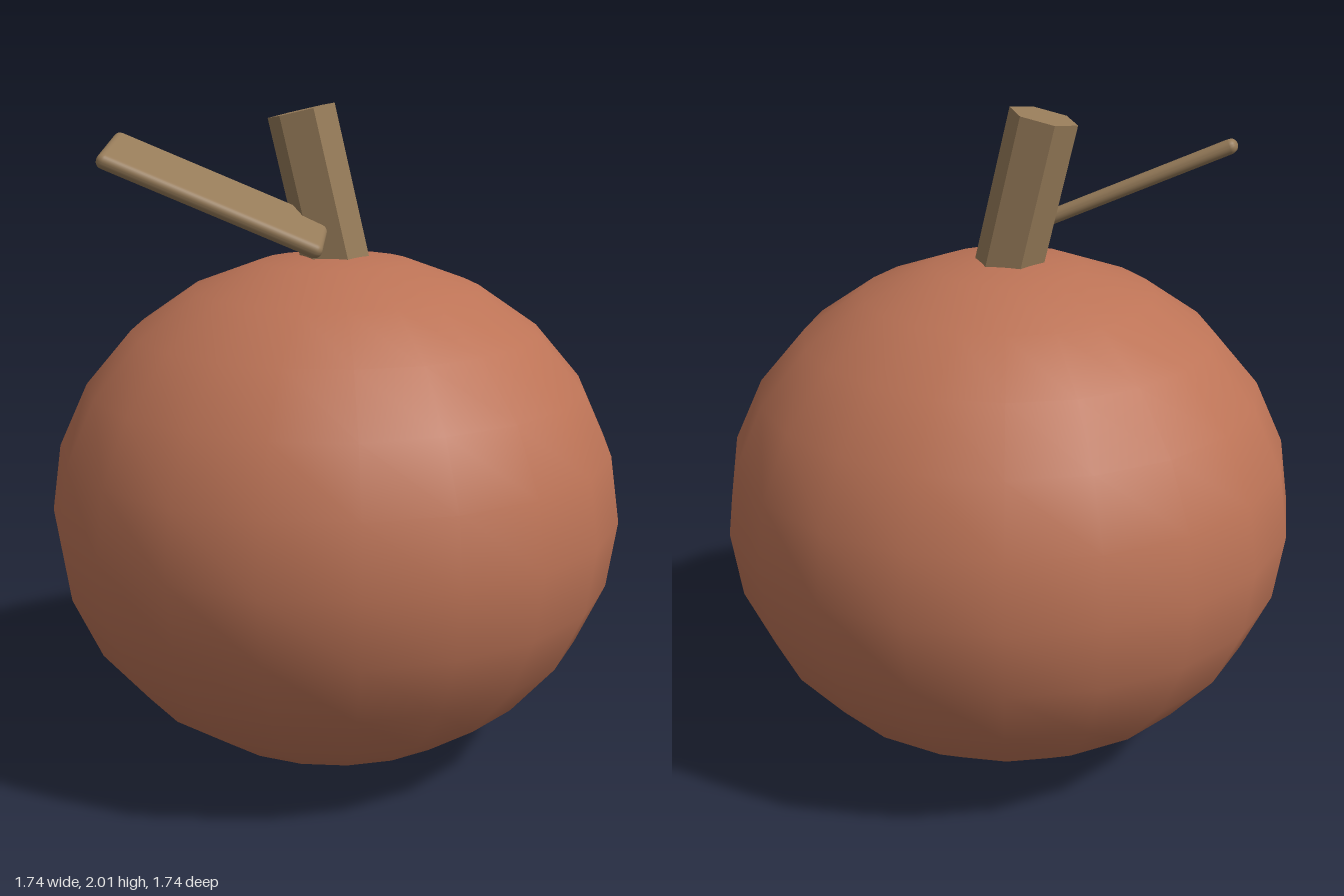
import * as THREE from 'three';
import { RoundedBoxGeometry } from 'three/addons/geometries/RoundedBoxGeometry.js';

export function createModel() {
  const group = new THREE.Group();

  const skin = new THREE.MeshStandardMaterial({ color: 0xbc7356 });
  skin.name = 'fruitSkin';
  const wood = new THREE.MeshStandardMaterial({ color: 0x967b59, flatShading: true });
  wood.name = 'stemBrown';
  const leafBrown = wood.clone();
  leafBrown.flatShading = false;
  leafBrown.name = 'leafBrown';

  const add = (name, geometry, material) => {
    const mesh = new THREE.Mesh(geometry, material);
    mesh.name = name;
    group.add(mesh);
    return mesh;
  };

  // Slightly squashed round body
  const body = add('body', new THREE.SphereGeometry(0.87, 20, 12), skin);
  body.scale.y = 0.785 / 0.87;
  body.position.y = 0.787;

  // Leaning hexagonal stem, its foot sunk into the body
  const top = new THREE.Vector3(-0.09, 1.985, -0.047);
  const axis = new THREE.Vector3(-0.088, 0.43, -0.045).normalize();
  const length = 0.52;
  const stem = add('stem', new THREE.CylinderGeometry(0.102, 0.102, length, 6), wood);
  stem.quaternion.setFromUnitVectors(new THREE.Vector3(0, 1, 0), axis);
  stem.position.copy(top).addScaledVector(axis, -length / 2);

  // Soft-edged slab leaf, rising to the right and back
  const along = new THREE.Vector3(0.57, -0.26, 0.23).normalize();
  const across = new THREE.Vector3(0.12, 0.05, -0.24);
  const normal = along.clone().cross(across).normalize();
  const side = along.clone().cross(normal);
  const leaf = add('leaf', new RoundedBoxGeometry(0.68, 0.044, 0.28, 3, 0.021), leafBrown);
  leaf.quaternion.setFromRotationMatrix(new THREE.Matrix4().makeBasis(along, normal, side));
  leaf.position.set(-0.37, 1.755, -0.005);

  return group;
}
